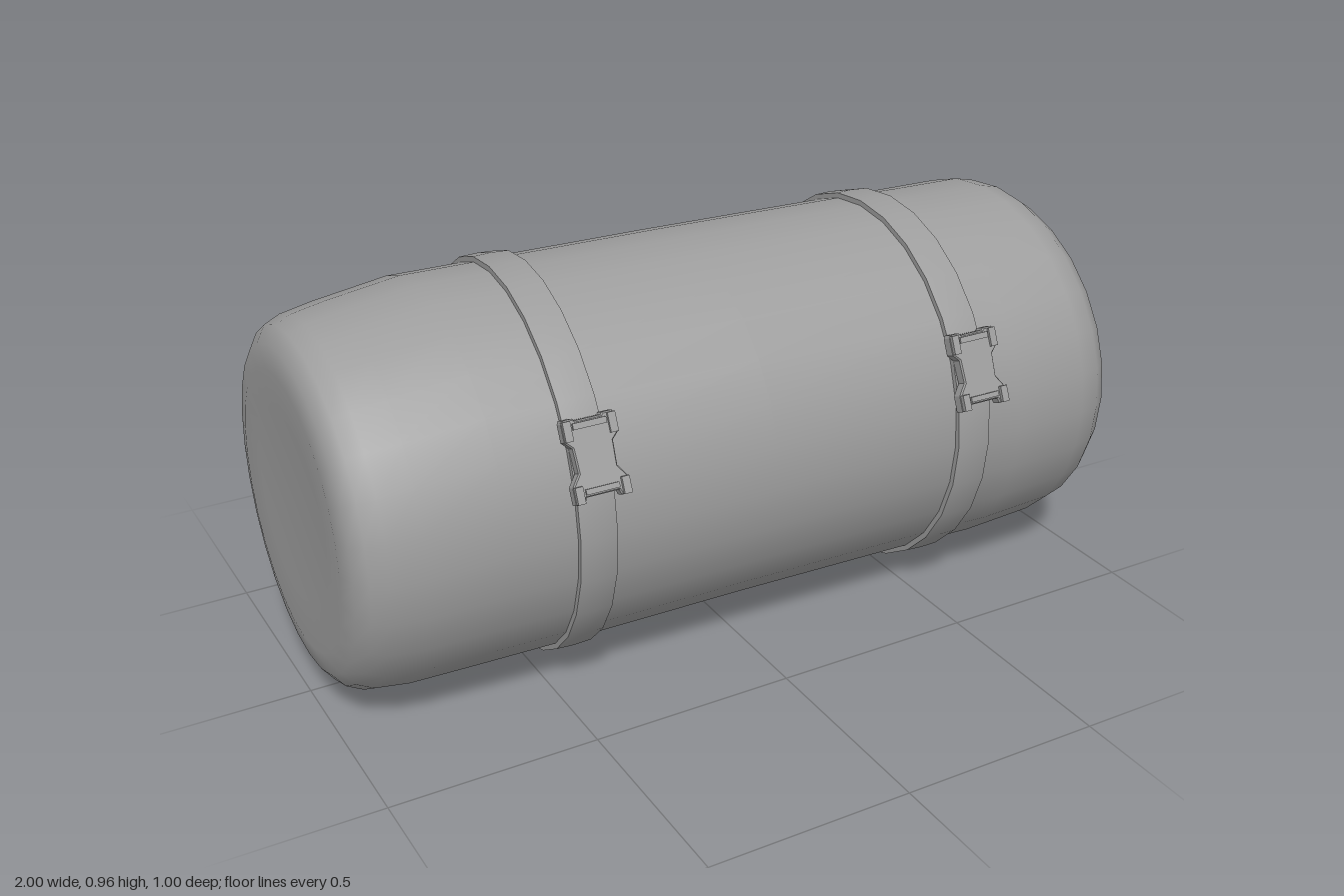
import * as THREE from 'three';
import { toCreasedNormals } from 'three/addons/utils/BufferGeometryUtils.js';

const SIDES = 28;
const material = new THREE.MeshStandardMaterial({ color: 0x9d9d9d });

// Roll cross-sections: x, top y, bottom y, back z, front z
const SECTIONS = [
  [-0.99, 0.70, 0.25, -0.26, 0.20],
  [-0.997, 0.80, 0.14, -0.34, 0.30],
  [-0.987, 0.855, 0.085, -0.395, 0.355],
  [-0.96, 0.89, 0.048, -0.437, 0.382],
  [-0.92, 0.905, 0.025, -0.459, 0.395],
  [-0.84, 0.92, 0.014, -0.471, 0.408],
  [-0.66, 0.945, 0.014, -0.486, 0.425],
  [-0.42, 0.945, 0.016, -0.482, 0.436],
  [0, 0.944, 0.021, -0.475, 0.449],
  [0.54, 0.938, 0.016, -0.464, 0.458],
  [0.68, 0.935, 0.013, -0.458, 0.462],
  [0.87, 0.932, 0.028, -0.457, 0.466],
  [0.925, 0.919, 0.043, -0.447, 0.456],
  [0.965, 0.89, 0.075, -0.42, 0.427],
  [0.988, 0.85, 0.115, -0.38, 0.385],
  [0.998, 0.79, 0.18, -0.32, 0.32],
  [0.996, 0.70, 0.26, -0.24, 0.24],
];

// Point on a section at angle a (0 = top, PI/2 = front), pushed out by lift
function sectionPoint([x, top, bottom, back, front], a, lift = 0) {
  return [
    x,
    (top + bottom) / 2 + ((top - bottom) / 2 + lift) * Math.cos(a),
    (back + front) / 2 + ((front - back) / 2 + lift) * Math.sin(a),
  ];
}

// Section interpolated along the straight part of the roll
function sectionAt(x) {
  const i = SECTIONS.findIndex((s, k) => k > 4 && s[0] >= x);
  const p = SECTIONS[i - 1], q = SECTIONS[i];
  const t = (x - p[0]) / (q[0] - p[0]);
  return p.map((v, k) => v + (q[k] - v) * t);
}

// Skin over rings of SIDES points; rings may close on themselves
function skin(rings, closed) {
  const index = [];
  const n = rings.length;
  for (let i = 0; i < (closed ? n : n - 1); i++) {
    const r = i * SIDES, s = ((i + 1) % n) * SIDES;
    for (let j = 0; j < SIDES; j++) {
      const k = (j + 1) % SIDES;
      index.push(r + j, r + k, s + j, r + k, s + k, s + j);
    }
  }
  const points = rings.flat();
  if (!closed) {
    // Fan caps at both ends
    const last = (n - 1) * SIDES, c = points.length;
    points.push([-0.987, 0.475, -0.03], [0.995, 0.48, 0]);
    for (let j = 0; j < SIDES; j++) {
      const k = (j + 1) % SIDES;
      index.push(c, k, j, c + 1, last + j, last + k);
    }
  }
  const g = new THREE.BufferGeometry();
  g.setAttribute('position', new THREE.Float32BufferAttribute(points.flat(), 3));
  g.setIndex(index);
  g.computeVertexNormals();
  return g;
}

const ring = (fn) => Array.from({ length: SIDES }, (_, j) => fn((j / SIDES) * Math.PI * 2));

function addMesh(parent, geometry, name) {
  const mesh = new THREE.Mesh(geometry, material);
  mesh.name = name;
  parent.add(mesh);
  return mesh;
}

// Strap centre line leans a little along x as it goes round
const strapX = (s, a) => s.x + s.leanY * Math.cos(a) + s.leanZ * Math.sin(a);

function strapGeometry(s) {
  const profile = [[-0.044, -0.012], [-0.044, 0.013], [0, 0.015], [0.044, 0.013], [0.044, -0.012]];
  const rings = profile.map(([dx, lift]) => ring((a) => {
    const x = strapX(s, a) + dx;
    return sectionPoint(sectionAt(x), a, lift);
  }));
  return toCreasedNormals(skin(rings, true), 0.7);
}

// Side-release buckle, lying in its own xy plane and facing +z
function makeBuckle(name) {
  const group = new THREE.Group();
  group.name = name;
  const half = [[0.030, 0.088], [0.034, 0.093], [0.058, 0.093], [0.062, 0.086],
    [0.062, 0.045], [0.047, 0.030], [0.045, -0.025], [0.056, -0.040],
    [0.064, -0.052], [0.064, -0.090], [0.042, -0.090], [0.038, -0.078]];
  const outline = [...half, ...half.map(([x, y]) => [-x, y]).reverse()];
  const shape = new THREE.Shape(outline.map(([x, y]) => new THREE.Vector2(x, y)).reverse());
  const plate = new THREE.ExtrudeGeometry(shape, {
    depth: 0.024, bevelEnabled: true, bevelThickness: 0.004, bevelSize: 0.003, bevelOffset: -0.003, bevelSegments: 1,
  });
  addMesh(group, plate, 'bucklePlate').position.z = -0.004;
  const bar = (w, h, d, x, y, z, label) =>
    addMesh(group, new THREE.BoxGeometry(w, h, d), label).position.set(x, y, z);
  bar(0.078, 0.014, 0.012, 0, 0.076, 0.024, 'topBar');
  bar(0.078, 0.012, 0.012, 0, -0.066, 0.024, 'bottomBar');
  for (const side of [-1, 1]) {
    bar(0.018, 0.044, 0.016, side * 0.052, 0.068, 0.023, 'topEar');
    bar(0.018, 0.038, 0.022, side * 0.054, -0.070, 0.022, 'bottomEar');
  }
  return group;
}

export function createModel() {
  const model = new THREE.Group();
  model.name = 'strappedRoll';

  addMesh(model, skin(SECTIONS.map((s) => ring((a) => sectionPoint(s, a))), false), 'roll');

  const straps = [
    { name: 'right', x: -0.435, leanY: -0.007, leanZ: -0.022, turn: -0.06 },
    { name: 'left', x: 0.543, leanY: 0.005, leanZ: -0.009, turn: -0.02 },
  ];
  const a = THREE.MathUtils.degToRad(67.5);
  for (const s of straps) {
    addMesh(model, strapGeometry(s), s.name + 'Strap');
    // Buckle sits tangent to the upper front of the strap
    const buckle = makeBuckle(s.name + 'Buckle');
    const x = strapX(s, a);
    const [, y, z] = sectionPoint(sectionAt(x), a, 0.018);
    buckle.position.set(x + 0.003, y, z);
    buckle.rotation.set(-0.42, s.turn, 0);
    model.add(buckle);
  }
  return model;
}
